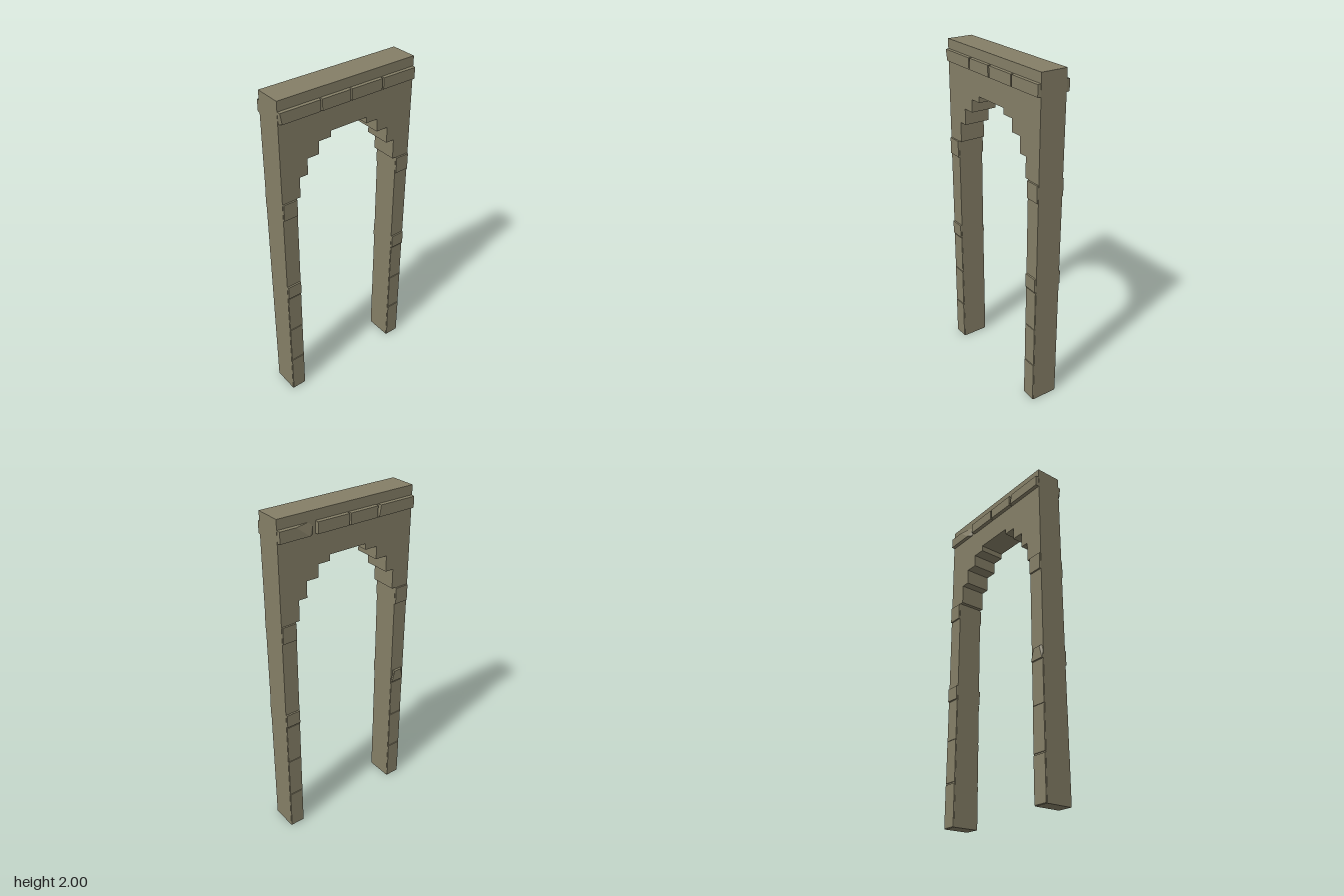
import * as THREE from 'three';

const D = 0.079; // half depth of the wall

export function createModel() {
  const stoneMat = new THREE.MeshStandardMaterial({ color: 0x847e66 });
  stoneMat.name = 'olive stone';
  const model = new THREE.Group();
  model.name = 'steppedArch';

  // Wall: outer frame with a stepped opening, right half then mirrored left half
  const half = [[0.435, 0], [0.343, 0], [0.343, 1.415], [0.32, 1.415], [0.32, 1.535], [0.268, 1.535],
    [0.268, 1.63], [0.194, 1.63], [0.194, 1.705], [0.118, 1.705], [0.118, 1.74]];
  const outline = [
    ...half,
    ...half.slice().reverse().map(([x, y]) => [-x, y]),
    [-0.435, 2], [0.435, 2],
  ].map(([x, y]) => new THREE.Vector2(x, y));
  const wallGeo = new THREE.ExtrudeGeometry(new THREE.Shape(outline), { depth: 2 * D, bevelEnabled: false });
  wallGeo.translate(0, 0, -D);
  const wall = new THREE.Mesh(wallGeo, stoneMat);
  wall.name = 'archWall';
  model.add(wall);

  // Raised stone with a worn outer face; chips gives extra [dx, dy] per outer corner,
  // keyed by corner: first letter l/r for -x/+x, second b/t for bottom/top
  function stone(name, x0, x1, y0, y1, reach, side, chips = {}) {
    const bevel = 0.003;
    const inner = D - 0.01;
    const geo = new THREE.BoxGeometry(x1 - x0, y1 - y0, reach - inner);
    geo.translate((x0 + x1) / 2, (y0 + y1) / 2, side * (inner + reach) / 2);
    const p = geo.attributes.position;
    for (let i = 0; i < p.count; i++) {
      if (Math.abs(p.getZ(i)) < reach - 0.001) continue;
      const right = p.getX(i) > (x0 + x1) / 2;
      const top = p.getY(i) > (y0 + y1) / 2;
      const [dx, dy] = chips[(right ? 'r' : 'l') + (top ? 't' : 'b')] || [0, 0];
      p.setX(i, p.getX(i) + (right ? -bevel : bevel) + dx);
      p.setY(i, p.getY(i) + (top ? -bevel : bevel) + dy);
    }
    const flat = geo.toNonIndexed();
    flat.computeVertexNormals();
    const mesh = new THREE.Mesh(flat, stoneMat);
    mesh.name = name;
    model.add(mesh);
  }

  // Top band of four stones on each face
  const joints = [-0.435, -0.185, 0.003, 0.21, 0.435];
  for (const side of [1, -1]) {
    for (let i = 0; i < 4; i++) {
      let chips = {};
      if (side > 0 && i === 0) chips = { lb: [0.012, 0] };
      if (side < 0 && i === 3) chips = { lt: [0.12, 0], lb: [0.04, 0] };
      if (side < 0 && i === 0) chips = { rt: [-0.012, 0] };
      stone('bandStone', joints[i] + (i ? 0.002 : 0), joints[i + 1] - (i < 3 ? 0.002 : 0),
        1.875, 1.945, side > 0 ? 0.097 : 0.1, side, chips);
    }
  }

  // Pier stones: base courses, middle collar and spring collar
  const courses = [
    ['baseStone', 0, 0.254, 0.084],
    ['baseStone', 0.257, 0.509, 0.083],
    ['baseStone', 0.512, 0.758, 0.082],
    ['middleCollar', 0.762, 0.85, 0.088],
    ['springCollar', 1.308, 1.414, 0.087],
  ];
  for (const side of [1, -1]) {
    for (const s of [1, -1]) {
      for (const [name, y0, y1, reach] of courses) {
        const worn = side < 0 && s < 0 && name === 'middleCollar';
        const chips = worn ? { lt: [0.02, -0.01], rt: [-0.02, -0.01] } : {};
        stone(name, Math.min(s * 0.343, s * 0.435), Math.max(s * 0.343, s * 0.435), y0, y1, reach, side, chips);
      }
    }
  }
  return model;
}
